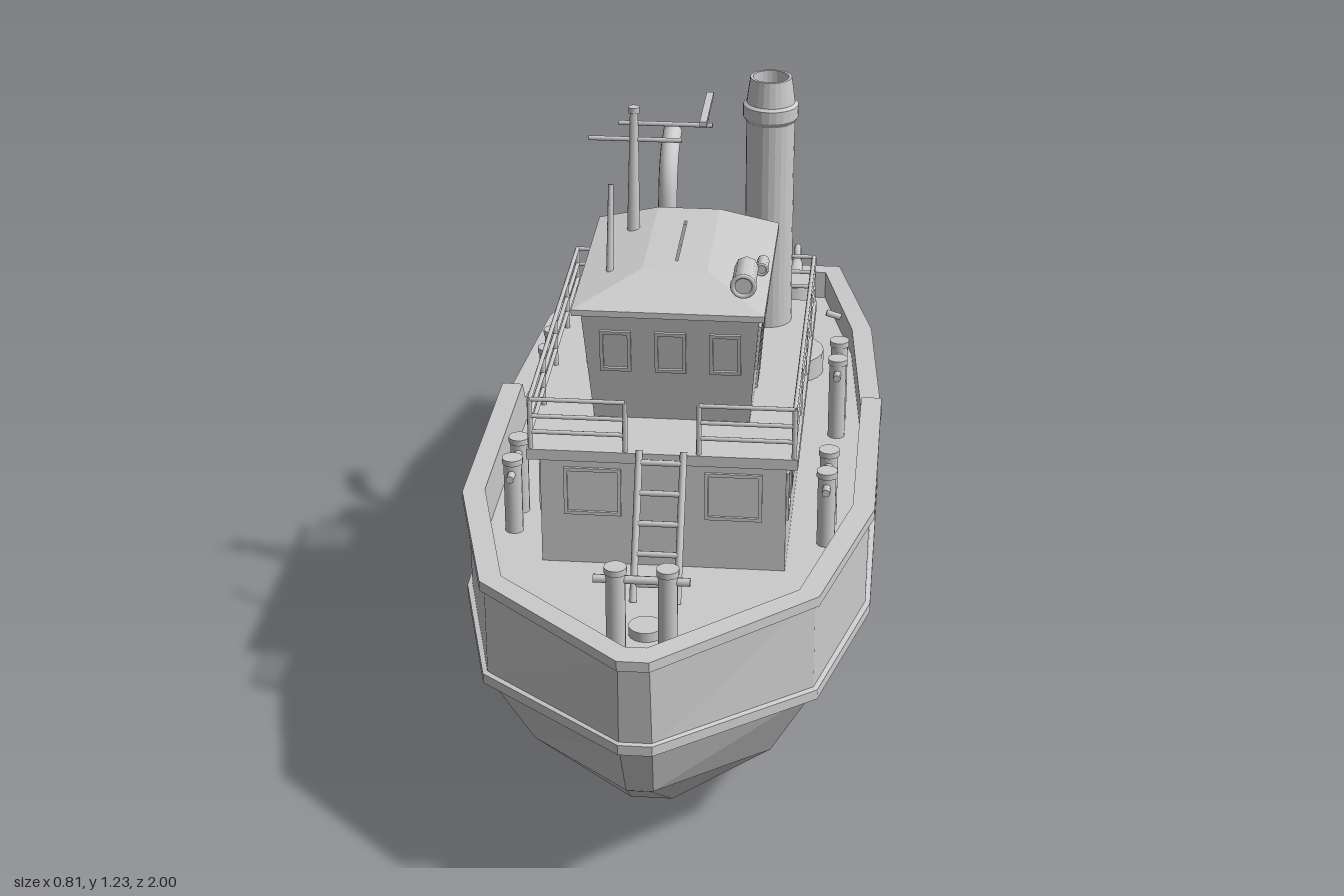
import * as THREE from 'three';

const V = (x, y, z) => new THREE.Vector3(x, y, z);
const flat = new THREE.MeshStandardMaterial({ color: 0xcccccc, flatShading: true, side: THREE.DoubleSide });
const smooth = new THREE.MeshStandardMaterial({ color: 0xcccccc, side: THREE.DoubleSide });
const deckY = z => 0.43 + 0.04 * z;

export function createModel() {
  const model = new THREE.Group();

  const add = (name, geo, pos = [0, 0, 0], mat = flat, parent = model) => {
    const m = new THREE.Mesh(geo, mat);
    m.name = name;
    m.position.set(...pos);
    parent.add(m);
    return m;
  };
  const group = name => {
    const g = new THREE.Group();
    g.name = name;
    model.add(g);
    return g;
  };
  const box = (name, w, h, d, pos, parent) => add(name, new THREE.BoxGeometry(w, h, d), pos, flat, parent);
  const cyl = (name, r0, r1, h, pos, parent, n = 20) => add(name, new THREE.CylinderGeometry(r1, r0, h, n), pos, smooth, parent);
  // Round bar between two points
  const bar = (name, a, b, r, parent, r2 = r) => {
    const d = b.clone().sub(a);
    const m = cyl(name, r, r2, d.length(), a.clone().add(b).multiplyScalar(0.5).toArray(), parent, 8);
    m.quaternion.setFromUnitVectors(V(0, 1, 0), d.normalize());
    return m;
  };
  // Skin stretched over rows of points
  const loft = (rows, closed) => {
    const p = [], n = rows[0].length;
    for (let i = 0; i < rows.length - 1; i++) {
      for (let j = 0; j < (closed ? n : n - 1); j++) {
        const k = (j + 1) % n;
        const a = rows[i][j], b = rows[i][k], c = rows[i + 1][k], d = rows[i + 1][j];
        for (const v of [a, b, c, a, c, d]) p.push(v.x, v.y, v.z);
      }
    }
    const g = new THREE.BufferGeometry();
    g.setAttribute('position', new THREE.Float32BufferAttribute(p, 3));
    g.computeVertexNormals();
    return g;
  };

  // Hull lines, each running from bow to stern as [half width, height, z]
  const keel = [[0.02, 0.225, 0.9], [0.04, 0.075, 0.7], [0.06, 0.003, 0.33], [0.06, 0, -0.18], [0.06, 0, -0.22], [0.055, 0.02, -0.63], [0.04, 0.125, -0.86]];
  const chine = [[0.025, 0.23, 0.905], [0.225, 0.185, 0.68], [0.315, 0.158, 0.35], [0.315, 0.15, -0.16], [0.315, 0.15, -0.19], [0.285, 0.14, -0.62], [0.2, 0.13, -0.865]];
  const strake = [[0.03, 0.365, 0.97], [0.305, 0.342, 0.72], [0.39, 0.325, 0.37], [0.39, 0.31, -0.15], [0.39, 0.31, -0.185], [0.355, 0.297, -0.62], [0.275, 0.285, -0.985]];
  const rail = [[0.028, 0.56, 0.99], [0.305, 0.552, 0.725], [0.393, 0.543, 0.37], [0.393, 0.525, -0.15], [0.393, 0.475, -0.185], [0.36, 0.465, -0.62], [0.275, 0.455, -0.99]];
  const inner = [[0.02, 0.56, 0.95], [0.275, 0.552, 0.71], [0.36, 0.543, 0.36], [0.36, 0.525, -0.15], [0.36, 0.475, -0.185], [0.325, 0.465, -0.62], [0.25, 0.455, -0.96]];
  const ring = (line, dy = 0, s = 1, sz = 1) => {
    const half = line.map(([x, y, z]) => V(x * s, y + dy, z * sz));
    return [...half, ...half.map(v => V(-v.x, v.y, v.z)).reverse()];
  };
  const across = line => line.map(([x, y, z]) => [V(-x, y, z), V(x, y, z)]);
  const floor = inner.map(([x, , z]) => [x, deckY(z), z]);

  add('hull', loft([ring(keel), ring(chine), ring(strake), ring(rail)], true));
  add('hullBottom', loft(across(keel)));
  add('bulwark', loft([ring(inner), ring(floor)], true));
  add('deck', loft(across(floor)));
  add('railCap', loft([ring(rail, -0.018), ring(rail, -0.018, 1.025, 1.01), ring(rail, 0.002, 1.025, 1.01), ring(inner, 0.002), ring(inner, -0.018)], true));
  add('rubbingStrake', loft([ring(strake, -0.012), ring(strake, -0.01, 1.025, 1.01), ring(strake, 0.01, 1.025, 1.01), ring(strake, 0.012)], true));
  const rudder = new THREE.Shape([[0.62, 0.025], [0.86, 0.025], [0.86, 0.14], [0.8, 0.14]].map(p => new THREE.Vector2(...p)));
  add('rudder', new THREE.ExtrudeGeometry(rudder, { depth: 0.014, bevelEnabled: false }), [0.007, 0, 0]).rotation.y = Math.PI / 2;
  model.children.at(-1).position.x = -0.007;

  // Deckhouse with its overhanging roof
  box('deckhouse', 0.47, 0.3, 0.69, [0, 0.535, 0.115]);
  box('deckhouseRoof', 0.515, 0.022, 0.735, [0, 0.69, 0.115]);

  // Wheelhouse with outward-leaning walls and a hipped roof
  const rect = (x0, x1, y, z0, z1) => [V(x0, y, z0), V(x1, y, z0), V(x1, y, z1), V(x0, y, z1)];
  add('wheelhouse', loft([rect(-0.145, 0.155, 0.69, -0.05, 0.33), rect(-0.165, 0.175, 0.945, -0.06, 0.37)], true));
  add('wheelhouseRoof', loft([
    rect(-0.165, 0.175, 0.938, -0.06, 0.37), rect(-0.18, 0.185, 0.938, -0.072, 0.388),
    rect(-0.18, 0.185, 0.95, -0.072, 0.388), rect(-0.06, 0.065, 0.976, -0.072, 0.24),
    rect(0, 0.005, 0.977, 0, 0.2)], true));

  // Framed windows and doors
  const pane = (name, w, h, pos, turn, tilt = 0) => {
    const g = group(name);
    const s = new THREE.Shape([[-1, -1], [1, -1], [1, 1], [-1, 1]].map(([x, y]) => new THREE.Vector2(x * w / 2, y * h / 2)));
    s.holes.push(new THREE.Path([[-1, -1], [-1, 1], [1, 1], [1, -1]].map(([x, y]) => new THREE.Vector2(x * (w / 2 - 0.007), y * (h / 2 - 0.007)))));
    add('frame', new THREE.ExtrudeGeometry(s, { depth: 0.007, bevelEnabled: false }), [0, 0, -0.002], flat, g);
    g.position.set(...pos);
    g.rotation.set(tilt, turn, 0, 'YXZ');
  };
  const Q = Math.PI / 2;
  for (const x of [-0.1, 0.005, 0.11]) pane('wheelhouseFrontWindow', 0.06, 0.09, [x, 0.855, 0.356], 0, 0.155);
  pane('wheelhouseRearWindow', 0.2, 0.09, [0.005, 0.855, -0.057], Math.PI, 0.04);
  for (const s of [-1, 1]) {
    const side = y => 0.005 + s * (0.15 + (y - 0.69) * 0.078);
    for (const z of [0.29, 0.03]) pane('wheelhouseSideWindow', 0.07, 0.09, [side(0.855), 0.855, z], s * Q, 0.078);
    pane('wheelhouseDoor', 0.085, 0.2, [side(0.805), 0.805, 0.145], s * Q, 0.078);
    pane('wheelhouseDoorWindow', 0.055, 0.08, [side(0.855), 0.855, 0.145], s * Q, 0.078);
    for (const z of [0.4, 0.27, 0.115, -0.12]) pane('deckhouseSideWindow', 0.085, 0.1, [s * 0.235, 0.6, z], s * Q);
    pane('deckhouseFrontWindow', 0.11, 0.1, [s * 0.135, 0.605, 0.46], 0);
  }
  pane('deckhouseRearWindow', 0.09, 0.1, [0.05, 0.6, -0.23], Math.PI);

  // Guard rails around the deckhouse roof, open at both ladders
  const guard = group('guardRail');
  const fence = pts => pts.forEach((p, i) => {
    bar('post', V(p[0], 0.7, p[1]), V(p[0], 0.803, p[1]), 0.005, guard);
    if (!i) return;
    for (const y of [0.735, 0.768, 0.803]) bar('rail', V(pts[i - 1][0], y, pts[i - 1][1]), V(p[0], y, p[1]), 0.0045, guard);
  });
  const sidePosts = [0.475, 0.29, 0.11, -0.07, -0.247];
  fence([[0.07, 0.475], ...sidePosts.map(z => [0.25, z]), [0.07, -0.247], [-0.1, -0.247]]);
  fence([[-0.07, 0.475], ...sidePosts.map(z => [-0.25, z]), [-0.22, -0.247]]);

  // Ladders
  const ladder = (name, x, half, lo, hi, rungs) => {
    const g = group(name);
    for (const s of [-half, half]) bar('stile', V(x + s, ...lo), V(x + s, ...hi), 0.007, g);
    for (let i = 0; i < rungs; i++) {
      const t = (i + 0.6) / rungs, y = lo[0] + (hi[0] - lo[0]) * t, z = lo[1] + (hi[1] - lo[1]) * t;
      bar('rung', V(x - half, y, z), V(x + half, y, z), 0.006, g);
    }
  };
  ladder('frontLadder', 0, 0.042, [deckY(0.62), 0.615], [0.71, 0.485], 5);
  ladder('rearLadder', -0.17, 0.048, [deckY(-0.27), -0.275], [0.73, -0.275], 6);

  // Hollow funnel with a collar
  const funnel = [[0.049, 0.69], [0.049, 1.14], [0.056, 1.15], [0.056, 1.175], [0.049, 1.18], [0.042, 1.232], [0.036, 1.232], [0.036, 1.1], [0, 1.1]];
  add('funnel', new THREE.LatheGeometry(funnel.map(p => new THREE.Vector2(...p)), 24), [0.16, 0, -0.155], flat);

  // Bent ventilator pipe
  const ventPath = new THREE.CatmullRomCurve3([V(-0.065, 0.42, -0.295), V(-0.065, 0.65, -0.302), V(-0.065, 0.86, -0.312), V(-0.065, 0.94, -0.33), V(-0.065, 0.985, -0.37), V(-0.065, 1.005, -0.43)]);
  add('ventPipe', new THREE.TubeGeometry(ventPath, 32, 0.02, 14), [0, 0, 0], smooth);
  cyl('ventBase', 0.028, 0.026, 0.16, [-0.065, 0.495, -0.297]);
  box('roofLocker', 0.09, 0.055, 0.07, [0.03, 0.727, -0.125]);

  // Mast with yard and radar
  const mast = group('mast');
  bar('pole', V(-0.1, 0.96, 0.025), V(-0.1, 1.21, 0), 0.013, mast, 0.008);
  cyl('mastCap', 0.011, 0.011, 0.012, [-0.1, 1.21, 0], mast);
  bar('yard', V(-0.19, 1.15, 0.005), V(-0.005, 1.15, 0.005), 0.005, mast);
  bar('radarArm', V(-0.13, 1.182, 0), V(0.055, 1.182, 0), 0.005, mast);
  bar('radarStem', V(0.043, 1.18, 0), V(0.043, 1.214, 0), 0.005, mast);
  box('radarScanner', 0.014, 0.009, 0.17, [0.043, 1.214, -0.005], mast);
  bar('aerial', V(-0.125, 0.955, 0.225), V(-0.125, 1.127, 0.19), 0.007, model, 0.005);

  // Searchlight and horn on the wheelhouse roof
  const lamp = (name, x, y, z, r, len) => {
    const g = group(name);
    bar('body', V(x, y, z - len / 2), V(x, y, z + len / 2), r, g);
    add('rim', new THREE.TorusGeometry(r * 0.9, r * 0.2, 8, 18), [x, y, z + len / 2], smooth, g);
    bar('stand', V(x, 0.945, z), V(x, y, z), r * 0.35, g);
  };
  lamp('searchlight', 0.143, 0.999, 0.315, 0.023, 0.09);
  lamp('horn', 0.168, 0.968, 0.185, 0.012, 0.045);

  // Paired bollards joined by a cross bar
  const bollards = (name, a, b, top, barY, r) => {
    const g = group(name);
    const dir = V(b[0] - a[0], 0, b[1] - a[1]).normalize().multiplyScalar(0.04);
    for (const [x, z] of [a, b]) {
      const y = deckY(z);
      cyl('post', r, r, top - y, [x, (top + y) / 2, z], g, 14);
      cyl('cap', r * 1.15, r * 1.15, 0.012, [x, top - 0.006, z], g, 14);
    }
    bar('crossBar', V(a[0], barY, a[1]).sub(dir), V(b[0], barY, b[1]).add(dir), 0.008, g);
  };
  for (const s of [-1, 1]) {
    bollards('foreSideBollards', [s * 0.308, 0.335], [s * 0.308, 0.245], 0.605, 0.575, 0.018);
    bollards('aftSideBollards', [s * 0.308, -0.175], [s * 0.308, -0.265], 0.605, 0.575, 0.018);
    // Small fairleads on the aft bulwark
    const lead = bar('fairlead', V(s * 0.295, 0.44, -0.745), V(s * 0.262, 0.45, -0.745), 0.008);
    lead.name = 'fairlead';
  }
  bollards('bowBollards', [-0.047, 0.845], [0.047, 0.845], 0.663, 0.637, 0.018);
  bollards('sternBollards', [-0.05, -0.905], [0.05, -0.905], 0.56, 0.525, 0.018);

  // Towing post with arm and hook
  const tow = group('towingGear');
  cyl('towBase', 0.08, 0.08, 0.05, [0.185, 0.435, -0.52], tow, 24);
  cyl('towPost', 0.053, 0.053, 0.22, [0.185, 0.52, -0.52], tow, 24);
  bar('towArm', V(0.19, 0.557, -0.55), V(0.19, 0.563, -0.775), 0.028, tow, 0.012);
  const hook = add('towHook', new THREE.TorusGeometry(0.021, 0.008, 8, 18, 4.8), [0.19, 0.567, -0.797], smooth, tow);
  hook.rotation.set(0, Q, 0);
  hook.rotateZ(-2.2);

  // Deck hatches
  box('aftHatch', 0.11, 0.03, 0.1, [0.035, deckY(-0.755) + 0.015, -0.755]);
  cyl('foreHatch', 0.032, 0.032, 0.02, [-0.005, deckY(0.735) + 0.01, 0.735]);

  return model;
}
